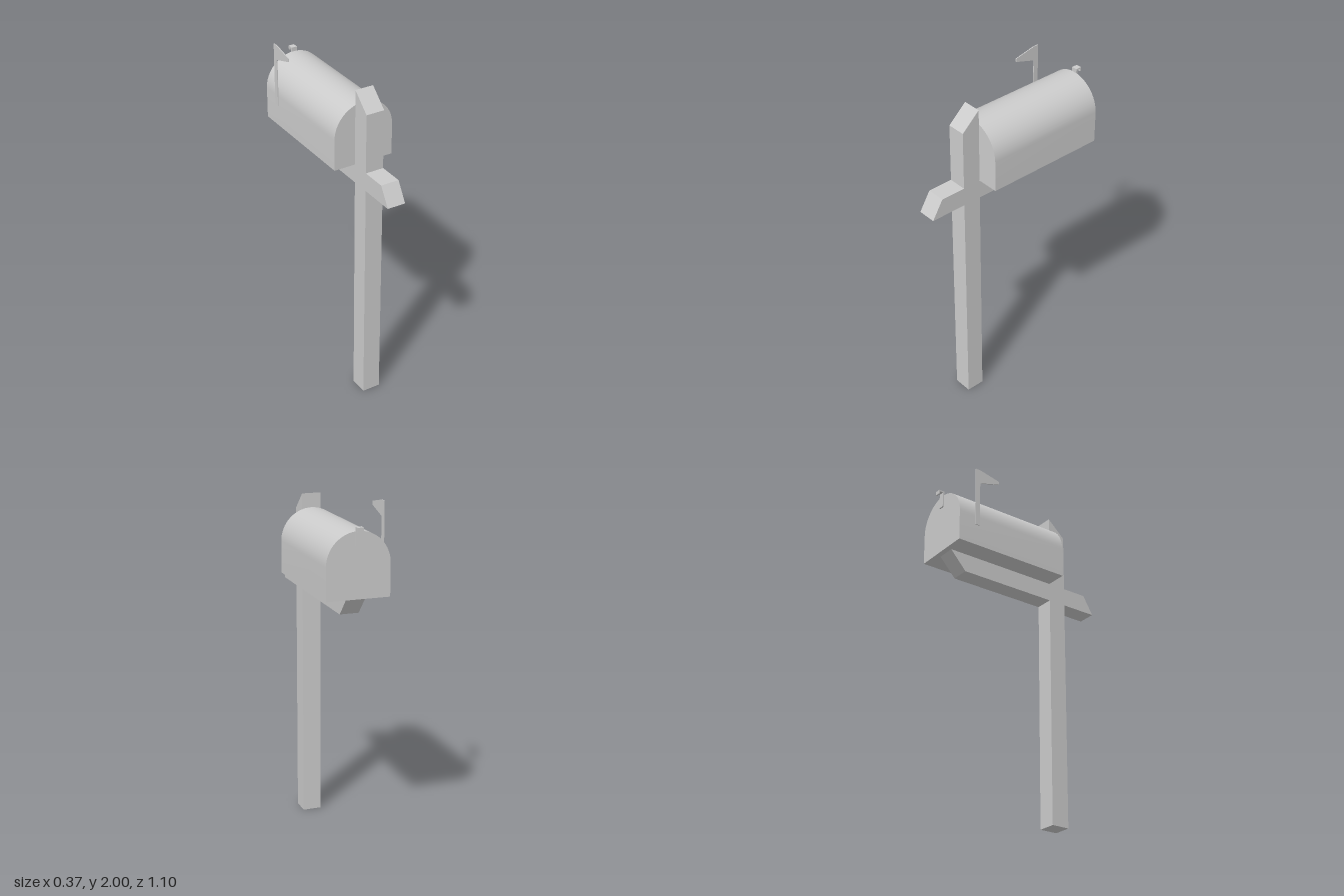
import * as THREE from 'three';
import { toCreasedNormals } from 'three/addons/utils/BufferGeometryUtils.js';

const material = new THREE.MeshStandardMaterial({ color: 0xcccccc });

function addMesh(group, name, geometry) {
  const mesh = new THREE.Mesh(geometry, material);
  mesh.name = name;
  group.add(mesh);
}

// Extrude a side outline, given as [z, y] points, across x.
function sideProfile(points, width, centreX = 0) {
  const shape = new THREE.Shape(points.map(([z, y]) => new THREE.Vector2(-z, y)));
  return new THREE.ExtrudeGeometry(shape, { depth: width, bevelEnabled: false })
    .translate(0, 0, -width / 2)
    .rotateY(Math.PI / 2)
    .translate(centreX, 0, 0);
}

export function createModel() {
  const group = new THREE.Group();
  group.name = 'mailbox';

  // Post with slanted top, crossed by an arm with slanted ends
  addMesh(group, 'postAndArm', sideProfile([
    [0.335, 0], [0.225, 0], [0.225, 1.39], [-0.385, 1.39], [-0.485, 1.5], [0.225, 1.5],
    [0.225, 1.95], [0.335, 1.85], [0.335, 1.5], [0.485, 1.5], [0.552, 1.39], [0.335, 1.39],
  ], 0.11));

  // Arched box, lying along z
  const r = 0.183, base = 1.5, spring = 1.685;
  const arch = new THREE.Shape();
  arch.moveTo(-r, base);
  arch.lineTo(r, base);
  arch.lineTo(r, spring);
  arch.absarc(0, spring, r, 0, Math.PI, false);
  arch.closePath();
  const box = new THREE.ExtrudeGeometry(arch, { depth: 0.74, bevelEnabled: false, curveSegments: 16 })
    .translate(0, 0, -0.517);
  addMesh(group, 'box', toCreasedNormals(box, 0.6));

  // Raised signal flag on a thin staff
  addMesh(group, 'flag', sideProfile([
    [-0.412, 1.63], [-0.412, 2], [-0.38, 2], [-0.25, 1.972], [-0.25, 1.952],
    [-0.382, 1.912], [-0.382, 1.63],
  ], 0.005, -0.1855));

  // Hooked door handle
  addMesh(group, 'handle', sideProfile([
    [-0.516, 1.79], [-0.516, 1.892], [-0.552, 1.892], [-0.552, 1.868], [-0.545, 1.868],
    [-0.545, 1.884], [-0.525, 1.884], [-0.525, 1.79],
  ], 0.034, 0.002));

  return group;
}
